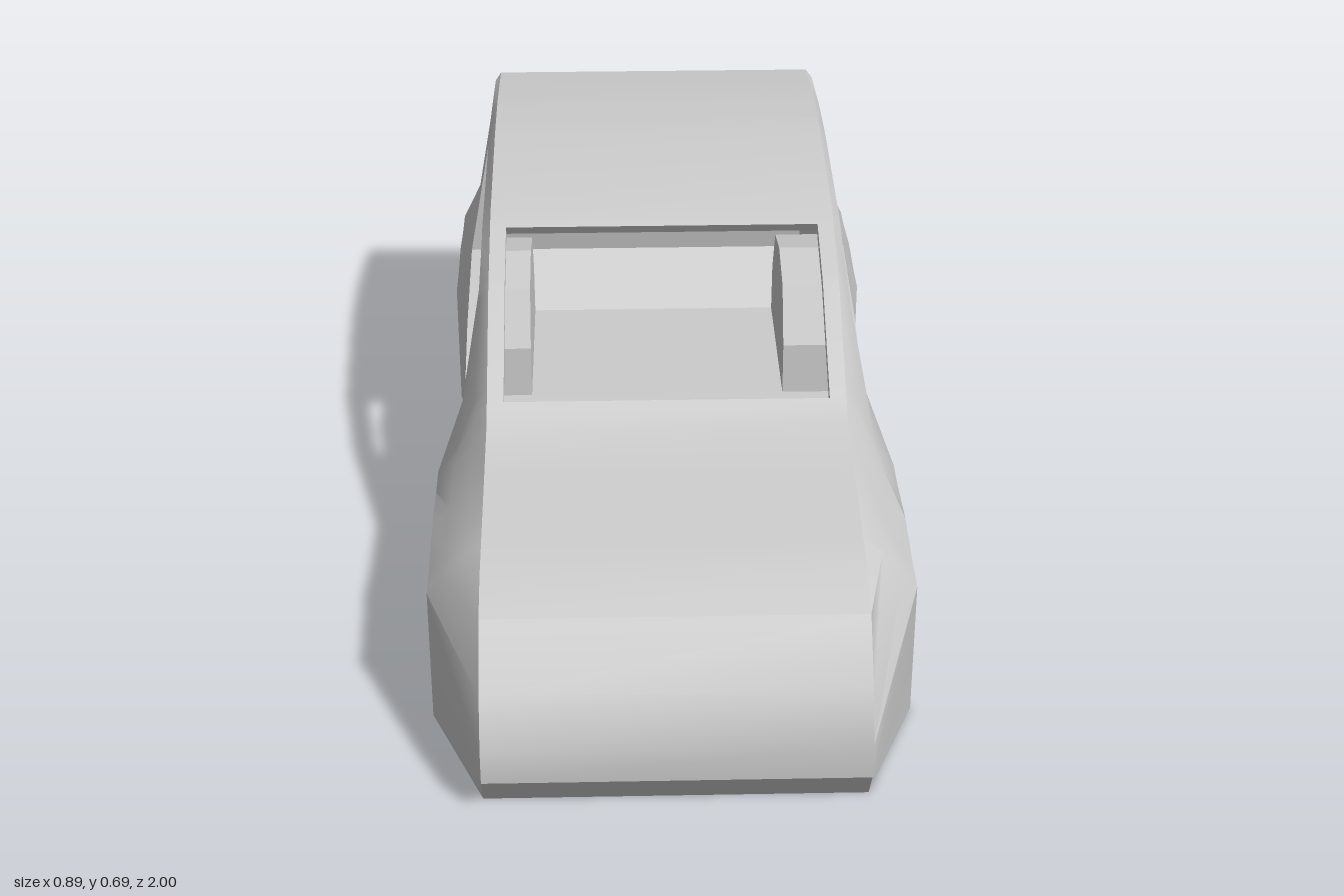
import * as THREE from 'three';
import { toCreasedNormals } from 'three/addons/utils/BufferGeometryUtils.js';

const material = new THREE.MeshStandardMaterial({ color: 0xcccccc, side: THREE.DoubleSide });
const EDGE_X = 0.345;   // half width of the centre skin
const TAIL_X = 0.36;
const WELL_X = 0.285;   // inner wall of the wheel wells
const GLASS_X = 0.313;  // half width of the windscreen opening
const WHEELS = [
  { z: 0.505, half: 0.205, height: 0.28 },
  { z: -0.6575, half: 0.2025, height: 0.275 },
];

// Straight-line curve through points listed with falling first coordinate
function curve(...pts) {
  return (t) => {
    if (t >= pts[0][0]) return pts[0][1];
    for (let i = 1; i < pts.length; i++) {
      const [[t0, v0], [t1, v1]] = [pts[i - 1], pts[i]];
      if (t >= t1) return THREE.MathUtils.mapLinear(t, t0, t1, v0, v1);
    }
    return pts[pts.length - 1][1];
  };
}

// Lines of the body along z
const roofY = curve([0.71, 0.375], [0.376, 0.425], [0.11, 0.59], [-0.08, 0.656], [-0.42, 0.69], [-0.6, 0.685], [-0.79, 0.66]);
const roofDrop = curve([0.71, 0.025], [0.3, 0.04], [0.085, 0.03], [-0.39, 0.026], [-0.86, 0.01]);
const beltY = curve([0.71, 0.31], [0.3, 0.343], [0.085, 0.36], [-0.08, 0.4], [-0.39, 0.415], [-0.65, 0.4], [-0.86, 0.392]);
const shoulderY = curve([0.71, 0.275], [0.3, 0.28], [0.085, 0.335], [-0.3, 0.335], [-0.455, 0.28], [-0.86, 0.265]);
const sillY = curve([-0.1, 0], [-0.455, 0.01]);
const lowerX = curve([0.3, 0.447], [0.085, 0.4], [-0.3, 0.41], [-0.455, 0.445]);
const beltX = curve([0.71, 0.42], [0.085, 0.4], [-0.53, 0.405], [-0.86, 0.38]);
const topX = curve([0.71, 0.38], [0, 0.363], [-0.86, 0.356]);
// Lean of the upper body around the quarter window
const beltLean = curve([-0.53, 0], [-0.6575, 0.0075], [-0.86, -0.02]);
const topLean = curve([-0.53, 0], [-0.6575, 0.083], [-0.86, 0.1]);

// Wheel arch outline, relative to half width and height
const archCurve = curve([1, 0], [0.96, 0.46], [0.63, 0.89], [0, 1]);
const archStations = WHEELS.flatMap(({ z, half }) => [-1, -0.96, -0.63, 0, 0.63, 0.96, 1].map((t) => z + t * half));
const stations = [...archStations, 0.33, 0.11, 0.085, -0.04, -0.08, -0.39].sort((a, b) => b - a);

// One cross-section: bottom, lower, shoulder, belt, window top, roof edge
function section(z) {
  const arch = Math.max(...WHEELS.map((w) => w.height * archCurve(Math.abs(z - w.z) / w.half)));
  const bottom = Math.max(arch, sillY(z));
  const shoulder = Math.max(shoulderY(z), bottom + 0.01);
  const zTop = z + topLean(z);
  return [
    [lowerX(z), bottom, z],
    [lowerX(z), THREE.MathUtils.lerp(bottom, shoulder, 0.45), z],
    [lowerX(z), shoulder, z],
    [beltX(z), beltY(z), z + beltLean(z)],
    [topX(z), roofY(zTop) - roofDrop(z), zTop],
    [EDGE_X, roofY(zTop), zTop],
  ];
}

// Nose and tail end in curved outlines, bottom to top
const nose = [[0, 0.955], [0.07, 1], [0.14, 1], [0.23, 0.96], [0.33, 0.87], [0.365, 0.78]].map(([y, z]) => [EDGE_X, y, z]);
const tail = [[0.01, -0.86], [0.105, -1], [0.23, -0.983], [0.39, -0.957], [0.65, -0.787], [0.66, -0.79]]
  .map(([y, z], i) => [i < 4 ? TAIL_X : EDGE_X + 0.007 * (5 - i), y, z]);
const sections = [nose, ...stations.map(section), tail];
const last = sections.length - 1;
const at = (z) => 1 + stations.indexOf(z);
const sideWindows = {
  doorWindowFrame: [at(0.085), at(-0.39)],
  quarterWindowFrame: [at(WHEELS[1].z), last],
};

// Mesh from a list of quads, each four [x, y, z] corners
function quadMesh(name, quads, crease) {
  const pos = quads.flatMap(([a, b, c, d]) => [a, b, c, a, c, d].flat());
  const geometry = new THREE.BufferGeometry();
  geometry.setAttribute('position', new THREE.Float32BufferAttribute(pos, 3));
  const mesh = new THREE.Mesh(toCreasedNormals(geometry, crease), material);
  mesh.name = name;
  return mesh;
}
const mirror = (quads) => quads.map((q) => q.map(([x, y, z]) => [-x, y, z]).reverse());

// Side skin, leaving out the window cells
function sideQuads() {
  const quads = [];
  for (let i = 0; i < last; i++) {
    const [p, q] = [sections[i], sections[i + 1]];
    for (let r = 0; r < 5; r++) {
      const open = r === 3 && Object.values(sideWindows).some(([a, b]) => i >= a && i < b);
      if (!open) quads.push([p[r], q[r], q[r + 1], p[r + 1]]);
    }
  }
  return quads;
}

// Centre skin from nose over the roof to the tail, open at the windscreen
function centreSkinQuads() {
  const profile = [...nose, ...sections.slice(1, last).map((s) => s[5]), ...[...tail].reverse()];
  const quads = [];
  for (let i = 0; i < profile.length - 1; i++) {
    const [[px, py, pz], [qx, qy, qz]] = [profile[i], profile[i + 1]];
    const strip = (a, b, c, d) => quads.push([[a, py, pz], [b, py, pz], [d, qy, qz], [c, qy, qz]]);
    if (pz <= 0.33 && qz >= -0.04) {
      strip(-px, -GLASS_X, -qx, -GLASS_X);
      strip(GLASS_X, px, GLASS_X, qx);
    } else strip(-px, px, -qx, qx);
  }
  return quads;
}

// Flat floor, narrowed between the wheel wells
function floorQuads() {
  const quads = [];
  for (let i = 0; i < last; i++) {
    const [[px, py, pz], [qx, qy, qz]] = [sections[i][0], sections[i + 1][0]];
    const mid = (pz + qz) / 2;
    const inWell = pz !== qz && WHEELS.some((w) => Math.abs(mid - w.z) < w.half);
    const [a, b] = inWell ? [WELL_X, WELL_X] : [px, qx];
    const [ya, yb] = inWell ? [sillY(pz), sillY(qz)] : [py, qy];
    quads.push([[a, ya, pz], [-a, ya, pz], [-b, yb, qz], [b, yb, qz]]);
  }
  return quads;
}

// Arch tunnel plus its flat inner wall
function wellQuads({ z, half }) {
  const arch = sections.slice(1, last).map((s) => s[0]).filter((p) => Math.abs(p[2] - z) < half + 0.001);
  return arch.slice(1).flatMap((q, i) => {
    const p = arch[i];
    const [pi, qi] = [[WELL_X, p[1], p[2]], [WELL_X, q[1], q[2]]];
    const [pf, qf] = [p, q].map((v) => [WELL_X, sillY(v[2]), v[2]]);
    return [[p, pi, qi, q], [pf, qf, qi, pi]];
  });
}

// Band running inward around an opening
function revealQuads(loop, [dx, dy, dz]) {
  const inner = loop.map(([x, y, z]) => [x + dx, y + dy, z + dz]);
  return loop.map((p, i) => {
    const j = (i + 1) % loop.length;
    return [p, inner[i], inner[j], loop[j]];
  });
}

export function createModel() {
  const group = new THREE.Group();
  group.name = 'carBody';
  group.add(quadMesh('hoodRoofAndTail', centreSkinQuads(), 0.45), quadMesh('floor', floorQuads(), 0.3));

  // Paired side parts
  const pair = (name, quads, crease) => {
    group.add(quadMesh(name + 'Left', quads, crease), quadMesh(name + 'Right', mirror(quads), crease));
  };
  pair('sidePanel', sideQuads(), 0.6);
  pair('frontWheelWell', wellQuads(WHEELS[0]), 0.3);
  pair('rearWheelWell', wellQuads(WHEELS[1]), 0.3);
  for (const [name, [a, b]] of Object.entries(sideWindows)) {
    const span = sections.slice(a, b + 1);
    const loop = [...span.map((s) => s[3]), ...span.map((s) => s[4]).reverse()];
    pair(name, revealQuads(loop, [-0.03, 0, 0]), 0.3);
  }

  // Windscreen frame
  const screen = sections.slice(at(0.33), at(-0.04) + 1).map((s) => s[5]);
  const side = (x) => screen.map(([, y, z]) => [x, y, z]);
  const loop = [...side(GLASS_X), ...side(-GLASS_X).reverse()];
  group.add(quadMesh('windscreenFrame', revealQuads(loop, [0, -0.02, -0.012]), 0.3));
  return group;
}
